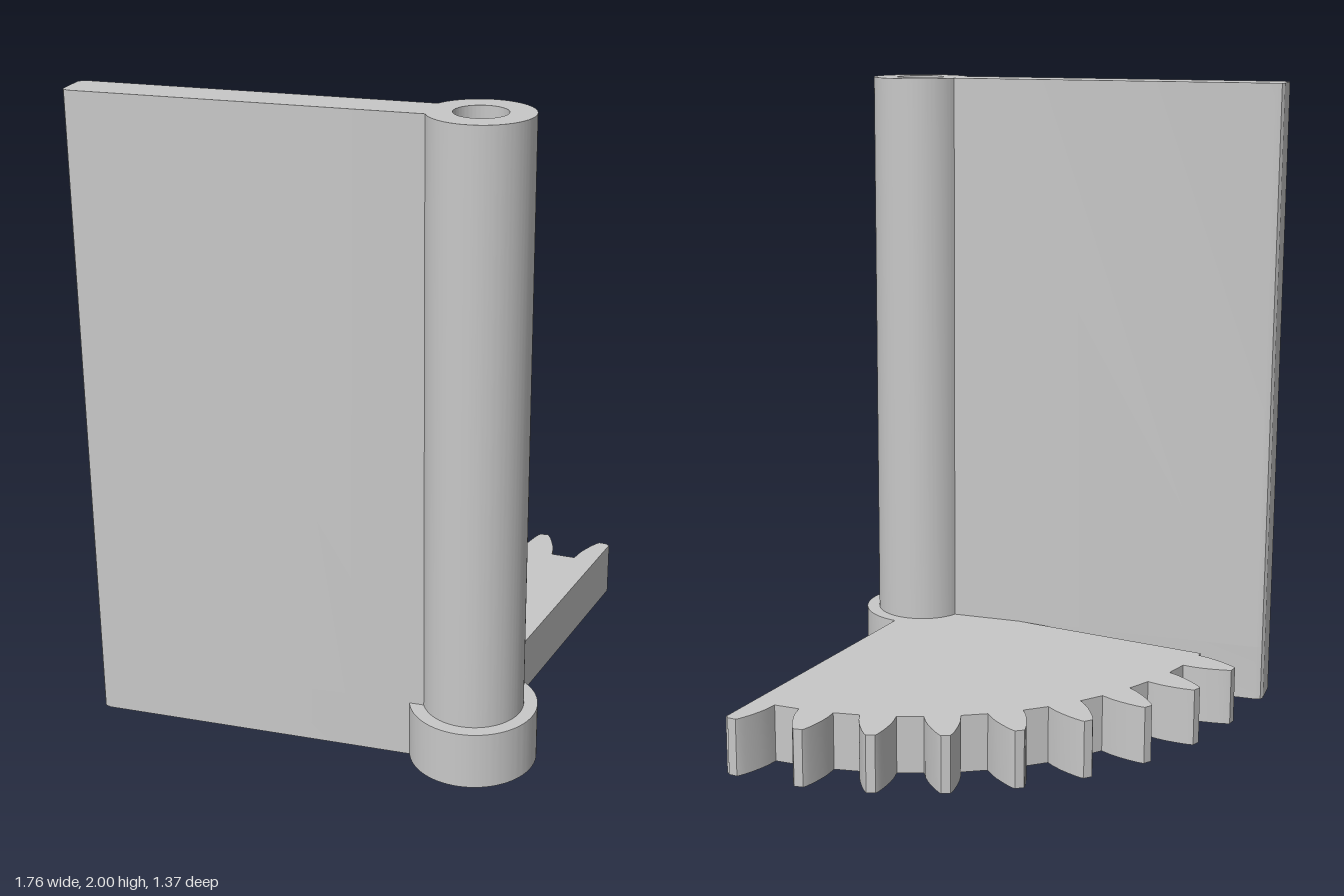
import * as THREE from 'three';
import { toCreasedNormals } from 'three/addons/utils/BufferGeometryUtils.js';

const HEIGHT = 2, BASE = 0.18;
const BORE = 0.077, POST = 0.153, HUB = 0.195;
const ROOT = 1.035, TIP = 1.182, PITCH = 360 / 34;
const VANE_HALF = 0.065, VANE_END = 1.205;
const rad = THREE.MathUtils.degToRad;

// Extrudes a plan outline (drawn around the pivot) upwards from y0 to y1
function extrudeUp(shape, y0, y1, name, material) {
  const geo = new THREE.ExtrudeGeometry(shape, { depth: y1 - y0, bevelEnabled: false, curveSegments: 64 });
  geo.rotateX(-Math.PI / 2);
  geo.translate(0, y0, 0);
  const mesh = new THREE.Mesh(toCreasedNormals(geo, rad(25)), material);
  mesh.name = name;
  return mesh;
}

function addBore(shape) {
  const hole = new THREE.Path();
  hole.absarc(0, 0, BORE, 0, Math.PI * 2, true);
  shape.holes.push(hole);
}

// Hub with a 90 degree toothed sector, from 20 to 110 degrees
function sectorShape() {
  const shape = new THREE.Shape();
  const to = (r, deg) => shape.lineTo(r * Math.cos(rad(deg)), r * Math.sin(rad(deg)));
  shape.absarc(0, 0, HUB, rad(110), rad(380), false);
  // One flank from root to tip: radius, half width
  const flank = [[ROOT, 0.055], [1.07, 0.052], [1.1, 0.046], [1.13, 0.037], [1.155, 0.028], [1.175, 0.019], [TIP, 0.014]];
  const profile = [
    ...flank.map(([r, w]) => [r, -w]),
    ...flank.slice().reverse(),
  ];
  to(1.176, 20);
  for (let i = -6.5; i <= 1.5; i++) {
    for (const [r, w] of profile) {
      const angle = 90 + i * PITCH + THREE.MathUtils.radToDeg(w / r);
      if (angle > 20.1) to(r, angle);
    }
  }
  to(ROOT, 110);
  addBore(shape);
  return shape;
}

// Outer end of the vane with small chamfers, pointing along +x
function vaneEnd(shape) {
  shape.lineTo(VANE_END - 0.025, -VANE_HALF);
  shape.lineTo(VANE_END - 0.007, -VANE_HALF + 0.006);
  shape.lineTo(VANE_END, -VANE_HALF + 0.018);
  shape.lineTo(VANE_END, VANE_HALF - 0.018);
  shape.lineTo(VANE_END - 0.007, VANE_HALF - 0.006);
  shape.lineTo(VANE_END - 0.025, VANE_HALF);
}

export function createModel() {
  const model = new THREE.Group();
  model.name = 'gearSectorVane';
  const grey = new THREE.MeshStandardMaterial({ color: 0xc8c8c8 });
  grey.name = 'grey';

  // Toothed base
  const pivot = new THREE.Group();
  pivot.name = 'pivot';
  pivot.position.set(-0.235, 0, 0.49);
  pivot.add(extrudeUp(sectorShape(), 0, BASE, 'gearSector', grey));

  // Hollow post merged with the flat vane
  const upper = new THREE.Shape();
  const join = Math.asin(VANE_HALF / POST);
  upper.absarc(0, 0, POST, join, Math.PI * 2 - join, false);
  vaneEnd(upper);
  addBore(upper);
  const post = extrudeUp(upper, BASE, HEIGHT, 'postAndVane', grey);

  // Lower strip of the vane, beside the base
  const lower = new THREE.Shape();
  lower.moveTo(HUB - 0.02, VANE_HALF);
  lower.lineTo(HUB - 0.02, -VANE_HALF);
  vaneEnd(lower);
  const foot = extrudeUp(lower, 0, BASE, 'vaneFoot', grey);

  for (const part of [post, foot]) {
    part.rotation.y = rad(120);
    pivot.add(part);
  }

  model.add(pivot);
  return model;
}
